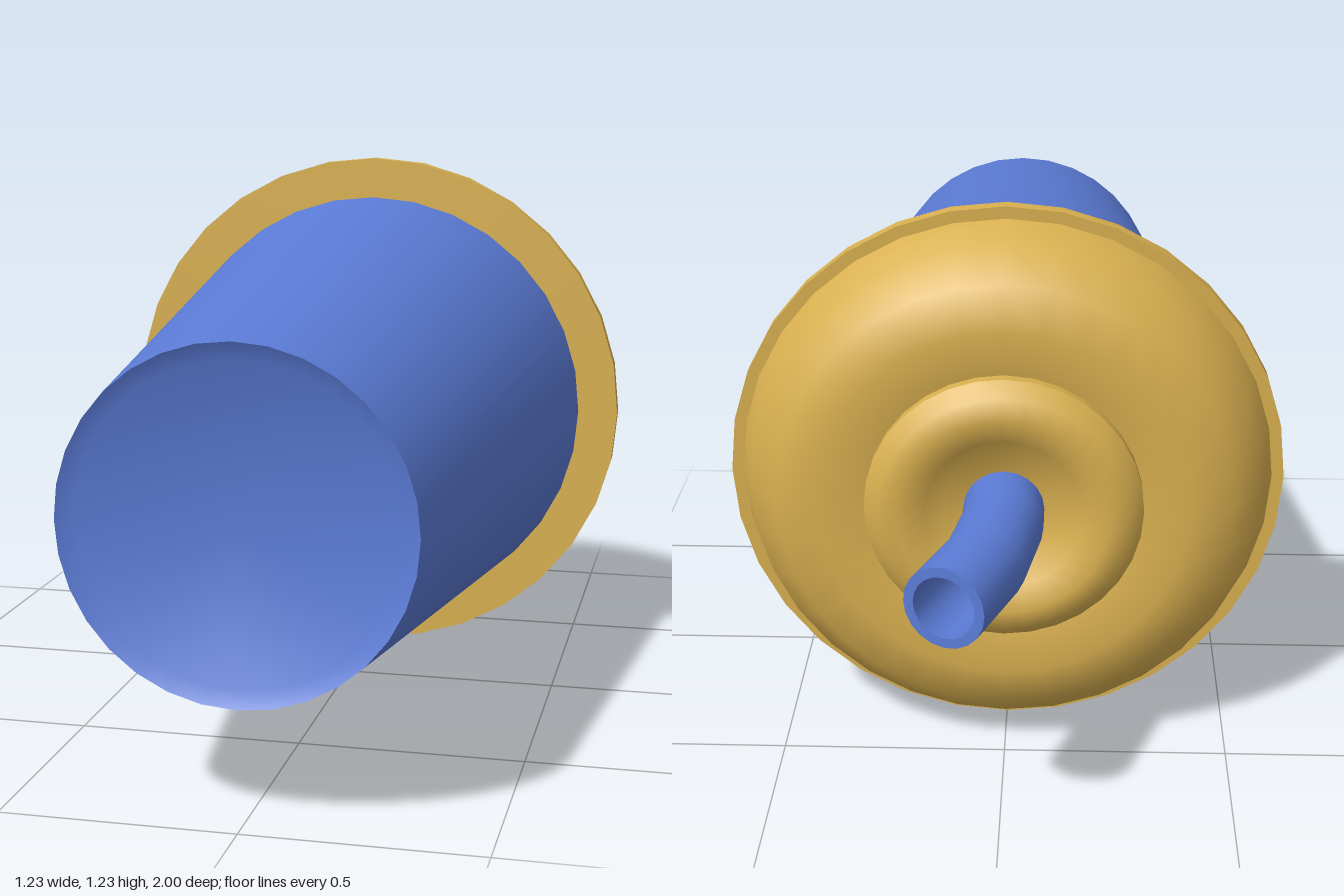
import * as THREE from 'three';
import { toCreasedNormals } from 'three/addons/utils/BufferGeometryUtils.js';

const blue = new THREE.MeshStandardMaterial({ color: 0x5b7bd6 });
const gold = new THREE.MeshStandardMaterial({ color: 0xd9b050 });

// Turned part: profile of [radius, height] pairs, listed so the outside wall runs upward
function turned(name, profile, sides, material, crease) {
  const points = profile.map(([r, h]) => new THREE.Vector2(r, h));
  const geometry = toCreasedNormals(new THREE.LatheGeometry(points, sides), crease);
  const mesh = new THREE.Mesh(geometry, material);
  mesh.name = name;
  return mesh;
}

// Hollow straw: a turned double wall whose stations are moved along a bend
function bentStraw() {
  const stations = [[0, 0.47, 0], [0, 0.6, 5], [0.03, 0.78, 13], [0.1, 0.965, 22]]; // x, height, tilt
  const outer = stations.map((s, i) => new THREE.Vector2(0.087, i));
  const inner = stations.map((s, i) => new THREE.Vector2(0.066, i)).reverse();
  const geometry = new THREE.LatheGeometry([...outer, ...inner], 20);
  const p = geometry.attributes.position;
  for (let i = 0; i < p.count; i++) {
    const [x, h, tilt] = stations[Math.round(p.getY(i))];
    const a = THREE.MathUtils.degToRad(tilt);
    p.setXYZ(i, x + p.getX(i) * Math.cos(a), h - p.getX(i) * Math.sin(a), p.getZ(i));
  }
  const mesh = new THREE.Mesh(toCreasedNormals(geometry, 0.7), blue);
  mesh.name = 'straw';
  return mesh;
}

export function createModel() {
  const group = new THREE.Group();
  group.name = 'drinkCup';

  // Tapered cup with a recessed base
  group.add(turned('cup', [[0, -0.98], [0.325, -0.98], [0.36, -1], [0.52, 0.3]], 32, blue, 0.6));

  // Flat flange around the lid
  group.add(turned('lidRim', [[0.5, 0.295], [0.615, 0.295], [0.615, 0.33], [0.57, 0.33]], 32, gold, 0.6));

  // Domed lid with a raised collar and a dished centre
  group.add(turned('lid', [
    [0.59, 0.325], [0.56, 0.415], [0.495, 0.49], [0.4, 0.52], [0.3, 0.5],
    [0.3, 0.525], [0.27, 0.56], [0.225, 0.572], [0.17, 0.55], [0.13, 0.52], [0, 0.51],
  ], 32, gold, 0.7));

  group.add(bentStraw());

  // Lay the cup on its side, base facing the front
  group.rotation.x = -Math.PI / 2;
  group.position.y = 0.615;
  const model = new THREE.Group();
  model.add(group);
  return model;
}
